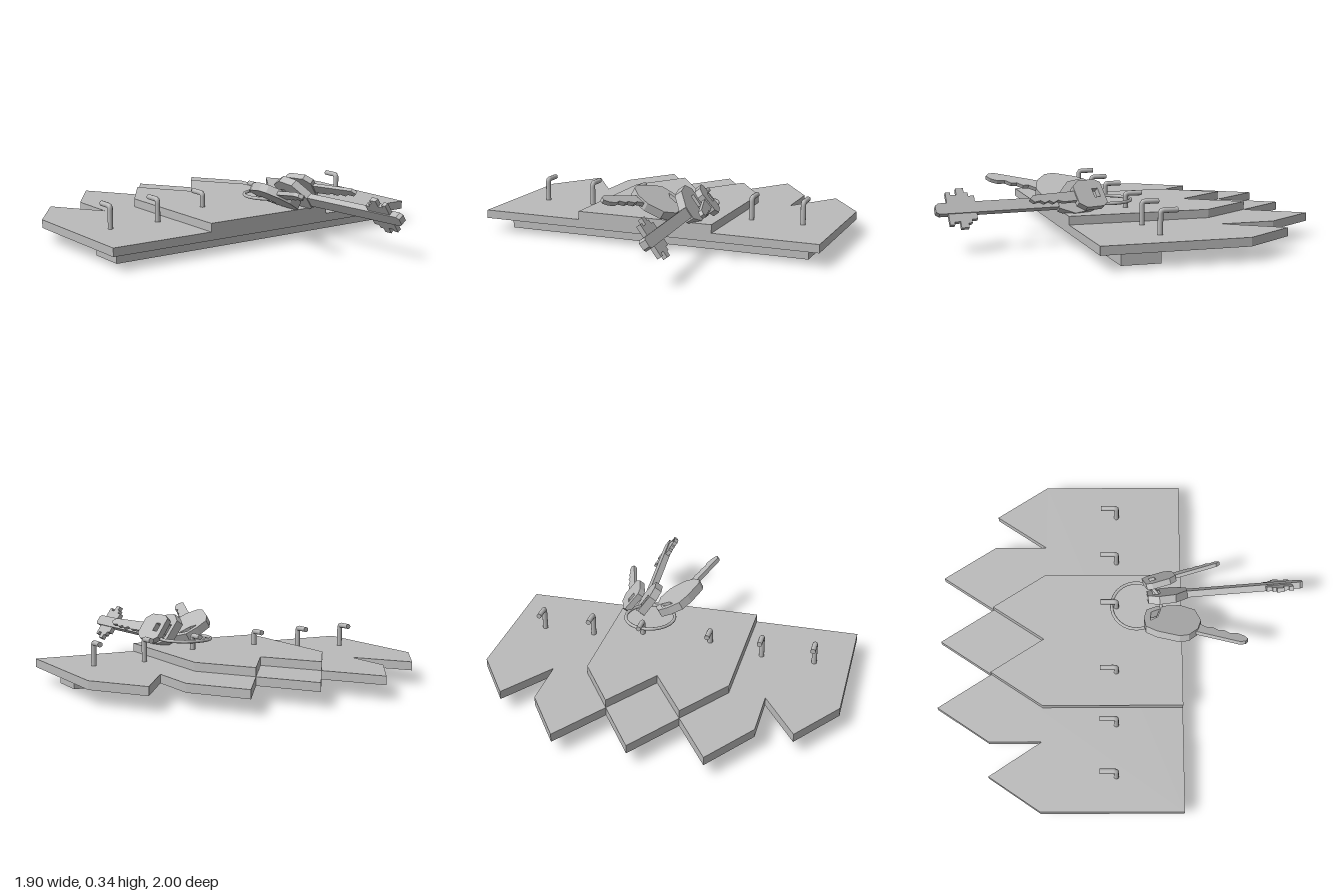
import * as THREE from 'three';

const grey = new THREE.MeshStandardMaterial({ color: 0xbababa });
grey.name = 'plain grey';

const toShape = (pts) => new THREE.Shape(pts.map(([x, y]) => new THREE.Vector2(x, y)));

// Flat plate: outline given in (x, z), thickness along y, bottom at y
function plate(name, pts, y, thickness, hole) {
  const shape = toShape(pts);
  if (hole) shape.holes.push(new THREE.Path(hole.map(([x, z]) => new THREE.Vector2(x, z))));
  const geo = new THREE.ExtrudeGeometry(shape, { depth: thickness, bevelEnabled: false });
  geo.rotateX(Math.PI / 2).translate(0, y + thickness, 0);
  const mesh = new THREE.Mesh(geo, grey);
  mesh.name = name;
  return mesh;
}

const centred = (name, pts, t, hole) => plate(name, pts, -t / 2, t, hole);

// Left half of an outline mirrored to a full one
const mirrored = (half) => [...half, ...half.filter(([x]) => x !== 0).reverse().map(([x, z]) => [-x, z])];

function key(name, position, yaw, roll, parts) {
  const g = new THREE.Group();
  g.name = name;
  g.add(...parts);
  g.rotation.set(0, yaw, roll, 'YXZ');
  g.position.set(...position);
  return g;
}

// L-shaped hook: post with an arm pointing to the back
function hook(x, baseY) {
  const path = new THREE.CurvePath();
  const v = (y, z) => new THREE.Vector3(x, y, z);
  path.add(new THREE.LineCurve3(v(baseY, -0.03), v(0.225, -0.03)));
  path.add(new THREE.QuadraticBezierCurve3(v(0.225, -0.03), v(0.24, -0.03), v(0.24, -0.045)));
  path.add(new THREE.LineCurve3(v(0.24, -0.045), v(0.24, -0.118)));
  const g = new THREE.Group();
  g.name = 'hook';
  g.add(new THREE.Mesh(new THREE.TubeGeometry(path, 20, 0.014, 10), grey));
  const cap = new THREE.Mesh(new THREE.CircleGeometry(0.014, 10), grey);
  cap.rotation.y = Math.PI;
  cap.position.set(x, 0.24, -0.118);
  g.add(cap);
  return g;
}

export function createModel() {
  const model = new THREE.Group();
  model.name = 'keyRack';

  // Back board with a pointed skyline and the raised front layer
  model.add(plate('backBoard', mirrored([
    [-0.95, 0.33], [-0.95, -0.43], [-0.76, -0.71], [-0.57, -0.43], [-0.57, -0.715],
    [-0.38, -1], [-0.19, -0.715], [0, -1],
  ]), 0.075, 0.045));
  model.add(plate('raisedPanel', mirrored([
    [-0.38, 0.33], [-0.38, -0.43], [-0.19, -0.715], [0, -0.43],
  ]), 0.12, 0.045));

  // Batten underneath
  const batten = new THREE.Mesh(new THREE.BoxGeometry(1.72, 0.075, 0.205), grey);
  batten.name = 'batten';
  batten.position.set(0, 0.0375, 0.1);
  model.add(batten);

  // Hooks
  for (const side of [-1, 1]) {
    for (const x of [0.19, 0.475, 0.76]) model.add(hook(side * x, x < 0.3 ? 0.16 : 0.115));
  }

  // Key ring
  const ring = new THREE.Mesh(new THREE.TorusGeometry(0.136, 0.009, 8, 40), grey);
  ring.name = 'keyRing';
  ring.rotation.x = Math.PI / 2;
  ring.position.set(0.178, 0.21, 0.08);
  model.add(ring);

  // Key with a rounded head
  model.add(key('roundHeadKey', [0.05, 0.255, 0], 0, -0.51, [
    centred('keyHead', [
      [-0.04, 0.13], [0.03, 0.12], [0.1, 0.135], [0.13, 0.19], [0.14, 0.32], [0.1, 0.4],
      [0.01, 0.43], [-0.06, 0.41], [-0.11, 0.36], [-0.12, 0.31], [-0.08, 0.19],
    ], 0.045, [[0.01, 0.155], [0.08, 0.16], [0.11, 0.215], [0.04, 0.195]]),
    centred('keyBlade', [
      [-0.06, 0.37], [-0.155, 0.63], [-0.15, 0.66], [-0.13, 0.675], [-0.105, 0.655], [-0.085, 0.62],
      [-0.085, 0.58], [-0.06, 0.55], [-0.06, 0.52], [-0.035, 0.49], [-0.035, 0.46], [0.01, 0.4],
    ], 0.022),
  ]));

  // Long key with a stepped double bit
  model.add(key('longKey', [0.232, 0.215, 0.14], 0.085, -0.96, [
    centred('keyHead', [
      [-0.09, 0], [0.03, 0], [0.06, 0.05], [0.075, 0.14], [0.04, 0.22], [-0.03, 0.22],
      [-0.11, 0.15], [-0.125, 0.06],
    ], 0.045, [[-0.06, 0.03], [0.02, 0.03], [0.02, 0.07], [-0.06, 0.07]]),
    centred('keyShaft', mirrored([
      [-0.03, 0.2], [-0.03, 0.845], [-0.018, 0.862], [0, 0.862],
    ]), 0.036),
    centred('keyBit', mirrored([
      [0, 0.655], [-0.065, 0.655], [-0.065, 0.685], [-0.085, 0.685], [-0.085, 0.705], [-0.11, 0.705],
      [-0.11, 0.745], [-0.075, 0.745], [-0.075, 0.775], [-0.09, 0.775], [-0.09, 0.8], [0, 0.8],
    ]).reverse(), 0.024),
  ]));

  // Small key with a toothed blade
  model.add(key('smallKey', [0.285, 0.26, 0.125], 0.3, -0.9, [
    centred('keyHead', [
      [-0.06, 0], [0.06, 0], [0.08, 0.03], [0.08, 0.13], [0.05, 0.17], [-0.05, 0.17],
      [-0.08, 0.13], [-0.08, 0.03],
    ], 0.034, [[-0.025, 0.03], [0.025, 0.03], [0.025, 0.065], [-0.025, 0.065]]),
    centred('keyBlade', [
      [-0.025, 0.15], [-0.025, 0.41], [-0.005, 0.435], [0.015, 0.415], [0.01, 0.38], [0.025, 0.36],
      [0.015, 0.33], [0.03, 0.31], [0.018, 0.28], [0.03, 0.25], [0.03, 0.15],
    ], 0.02),
  ]));

  return model;
}
